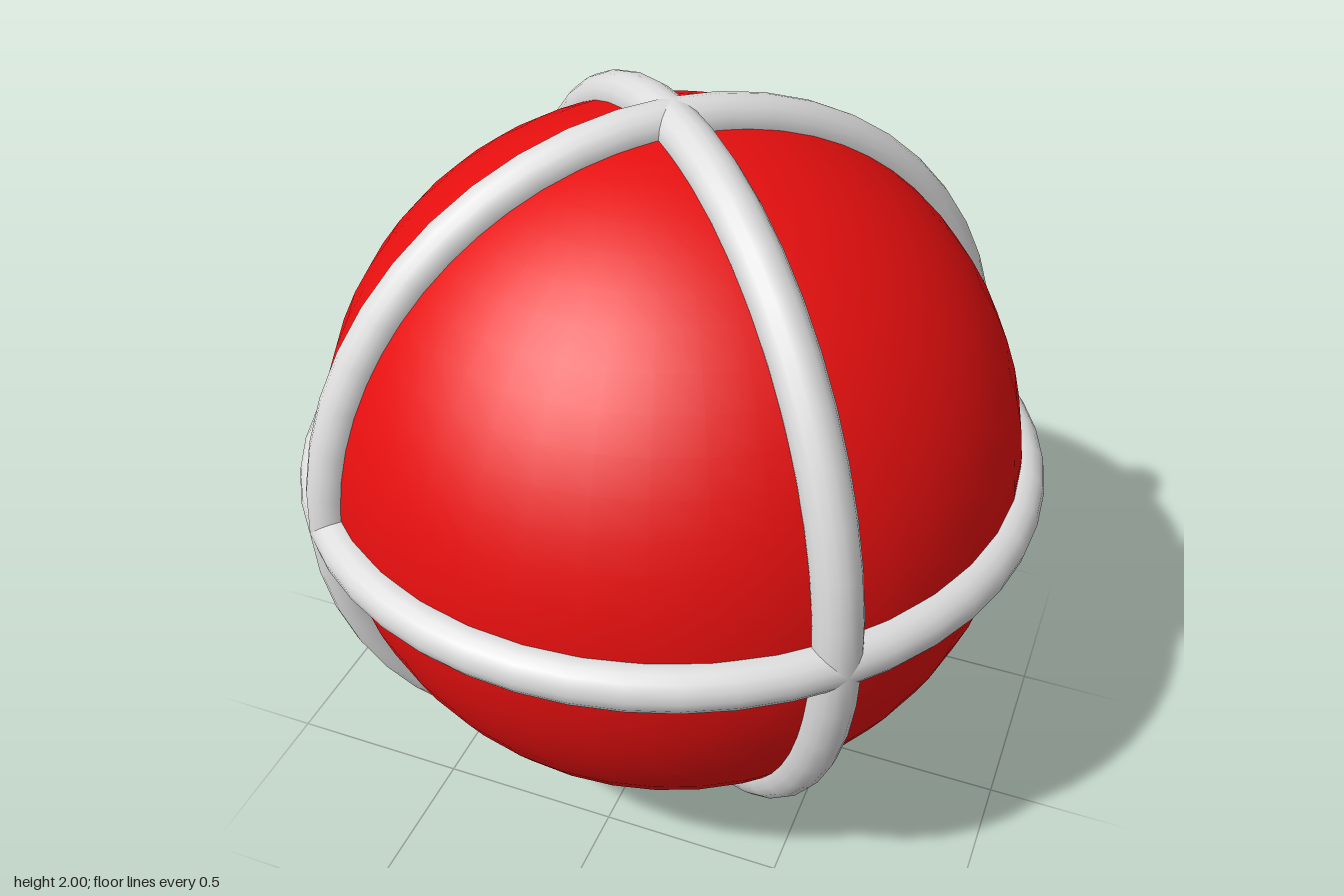
import * as THREE from 'three';

export function createModel() {
  const model = new THREE.Group();
  model.name = 'bandedBall';

  const red = new THREE.MeshStandardMaterial({ color: 0xe80f0f });
  red.name = 'red';
  const lightGrey = new THREE.MeshStandardMaterial({ color: 0xdddddd });
  lightGrey.name = 'light grey';

  const tube = 0.0625;
  const ringRadius = 1 - tube;

  // Ball
  const ball = new THREE.Mesh(new THREE.SphereGeometry(0.935, 40, 32), red);
  ball.name = 'ball';
  ball.position.y = 1;
  model.add(ball);

  // Three round bands: one level, two upright on the diagonals
  const bandGeometry = new THREE.TorusGeometry(ringRadius, tube, 16, 48);
  const addBand = (name, rx, ry) => {
    const band = new THREE.Mesh(bandGeometry, lightGrey);
    band.name = name;
    band.position.y = 1;
    band.rotation.set(rx, ry, 0);
    model.add(band);
  };
  addBand('equatorBand', Math.PI / 2, 0);
  addBand('diagonalBandA', 0, Math.PI / 4);
  addBand('diagonalBandB', 0, -Math.PI / 4);

  return model;
}
